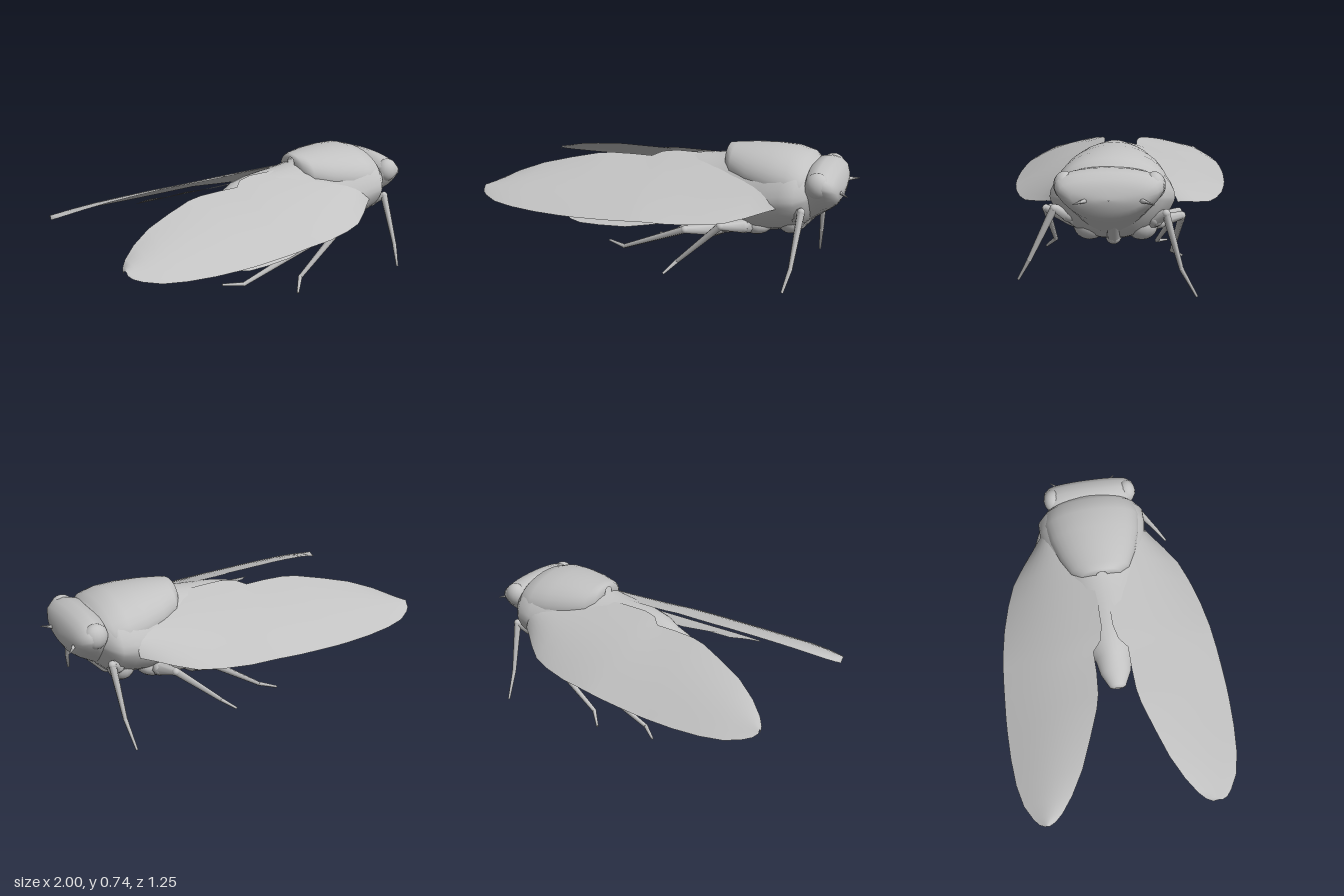
import * as THREE from 'three';

const shell = new THREE.MeshStandardMaterial({ color: 0xc2c2c2, side: THREE.DoubleSide });
shell.name = 'plain grey';

// Skin a list of equal-length rows of [x, y, z] points
function skin(rows, closed) {
  const n = rows[0].length, index = [];
  for (let i = 0; i < rows.length - 1; i++) {
    for (let j = 0; j < (closed ? n : n - 1); j++) {
      const k = (j + 1) % n;
      const a = i * n + j, b = a + n, c = i * n + k, d = c + n;
      index.push(a, b, c, b, d, c);
    }
  }
  const g = new THREE.BufferGeometry();
  g.setAttribute('position', new THREE.Float32BufferAttribute(rows.flat(2), 3));
  g.setIndex(index);
  g.computeVertexNormals();
  return g;
}

function part(parent, name, geometry) {
  const m = new THREE.Mesh(geometry, shell);
  m.name = name;
  parent.add(m);
  return m;
}

// Loft along x; station = [x, top, bottom, height of widest line, half width, upper power, lower power]
function loft(stations, sides = 32) {
  const rows = stations.map(([x, top, bottom, mid, w, up = 2, low = 1.9]) => {
    const ring = [];
    for (let j = 0; j < sides; j++) {
      const a = (j / sides) * Math.PI * 2, s = Math.sin(a), c = Math.cos(a);
      const h = s > 0 ? top - mid : mid - bottom;
      const y = mid + Math.sign(s) * Math.abs(s) ** (2 / (s > 0 ? up : low)) * h;
      ring.push([x, y, c * w]);
    }
    return ring;
  });
  return skin(rows, true);
}

function ball(parent, name, pos, size) {
  const m = part(parent, name, new THREE.SphereGeometry(1, 16, 12));
  m.position.set(...pos);
  m.scale.set(...size);
  return m;
}

// Jointed limb made of tapered segments
function limb(parent, name, points, radii) {
  const g = new THREE.Group();
  g.name = name;
  const p = points.map((q) => new THREE.Vector3(...q));
  for (let i = 0; i < p.length - 1; i++) {
    const d = p[i + 1].clone().sub(p[i]);
    const seg = part(g, 'segment', new THREE.CylinderGeometry(radii[i + 1], radii[i], d.length(), 7));
    seg.position.copy(p[i]).addScaledVector(d, 0.5);
    seg.quaternion.setFromUnitVectors(new THREE.Vector3(0, 1, 0), d.normalize());
    if (i > 0) ball(g, 'joint', points[i], [radii[i], radii[i], radii[i]]);
  }
  parent.add(g);
}

// Roof-like wing sheet; station = [x, inner z, outer z]; spread swings the tip outward
function wing(stations, side, spread, height, cols = 10) {
  const rows = stations.map(([x, a, b]) => {
    const out = spread * Math.max(0, -x - 0.3);
    const row = [];
    for (let j = 0; j <= cols; j++) {
      const t = j / cols, z = a + (b - a) * t;
      row.push([x, height(x, z, t), (z + out * (1 - 0.7 * t)) * side]);
    }
    return row;
  });
  if (side > 0) rows.reverse();
  return skin(rows, false);
}

export function createModel() {
  const insect = new THREE.Group();
  insect.name = 'wingedInsect';

  // Abdomen and thorax, tail to neck
  part(insect, 'body', loft([
    [-0.31, 0.5, 0.47, 0.485, 0.02],
    [-0.3, 0.53, 0.44, 0.485, 0.045],
    [-0.22, 0.56, 0.42, 0.49, 0.085],
    [-0.14, 0.6, 0.4, 0.5, 0.1, 1.6],
    [-0.08, 0.63, 0.37, 0.5, 0.14, 1.4],
    [0.02, 0.65, 0.34, 0.49, 0.19, 1.2],
    [0.12, 0.66, 0.295, 0.48, 0.22, 1.2],
    [0.2, 0.665, 0.255, 0.48, 0.24, 1.2],
    [0.28, 0.675, 0.245, 0.48, 0.25, 1.2],
    [0.35, 0.69, 0.25, 0.48, 0.26, 1.25],
    [0.45, 0.715, 0.265, 0.48, 0.275, 1.35],
    [0.56, 0.735, 0.28, 0.49, 0.295, 1.5],
    [0.66, 0.735, 0.285, 0.51, 0.31, 1.7, 1.6],
    [0.74, 0.72, 0.31, 0.52, 0.31, 1.8, 1.5],
    [0.79, 0.69, 0.36, 0.53, 0.26, 2, 1.4],
    [0.83, 0.66, 0.42, 0.54, 0.18, 2, 1.4],
  ])).position.z = 0.015;

  // Raised shield over the thorax
  part(insect, 'thoraxShield', loft([
    [0.3, 0.715, 0.66, 0.68, 0.03],
    [0.31, 0.732, 0.62, 0.65, 0.11],
    [0.35, 0.735, 0.58, 0.62, 0.165],
    [0.45, 0.745, 0.56, 0.6, 0.215],
    [0.57, 0.748, 0.54, 0.585, 0.255],
    [0.68, 0.742, 0.54, 0.575, 0.275],
    [0.76, 0.718, 0.54, 0.57, 0.27],
    [0.8, 0.68, 0.56, 0.6, 0.2],
  ])).position.z = 0.015;

  // Broad blunt head with a wedge-shaped lower face
  const head = new THREE.Group();
  head.name = 'headGroup';
  head.position.z = 0.025;
  insect.add(head);
  part(head, 'head', loft([
    [0.76, 0.63, 0.33, 0.56, 0.16, 2.6, 1.4],
    [0.79, 0.682, 0.355, 0.585, 0.245, 2.8, 1.3],
    [0.84, 0.685, 0.39, 0.595, 0.262, 3, 1.3],
    [0.89, 0.672, 0.425, 0.595, 0.262, 3, 1.4],
    [0.925, 0.645, 0.455, 0.585, 0.235, 2.8, 1.5],
    [0.945, 0.61, 0.49, 0.565, 0.18, 2.4],
    [0.955, 0.57, 0.53, 0.55, 0.07],
    [0.957, 0.551, 0.549, 0.55, 0.002],
  ]));

  // Mouth beak folded below the chest
  limb(insect, 'beak', [[0.84, 0.46, 0.01], [0.71, 0.31, 0.01], [0.46, 0.245, 0]], [0.045, 0.04, 0.012]);

  const foreWing = [
    [-1, 0.42, 0.47], [-0.985, 0.385, 0.5], [-0.95, 0.345, 0.53], [-0.87, 0.285, 0.575],
    [-0.75, 0.22, 0.605], [-0.6, 0.165, 0.62], [-0.45, 0.115, 0.625], [-0.37, 0.1, 0.625],
    [-0.25, 0.095, 0.62], [-0.13, 0.095, 0.613], [-0.08, 0.05, 0.608], [0, 0.03, 0.6],
    [0.15, 0.03, 0.575], [0.3, 0.04, 0.535], [0.42, 0.08, 0.49], [0.52, 0.12, 0.42],
    [0.6, 0.17, 0.355], [0.66, 0.21, 0.31],
  ];
  const hindWing = [
    [-0.45, 0.42, 0.5], [-0.43, 0.36, 0.54], [-0.36, 0.3, 0.56], [-0.25, 0.25, 0.56],
    [-0.1, 0.2, 0.55], [0.1, 0.17, 0.5], [0.3, 0.17, 0.42], [0.45, 0.2, 0.34],
  ];

  for (const side of [1, -1]) {
    const pre = side > 0 ? 'left' : 'right';
    part(insect, pre + 'ForeWing', wing(foreWing, side, side > 0 ? 0 : 0.06, (x, z, t) =>
      0.675 - 0.425 * z + 0.02 * Math.sin(Math.PI * t)
      - Math.max(0, x) * 0.1 * t * t - Math.max(0, -x - 0.5) * 0.06 * (1 - t)
      - Math.max(0, -x - 0.8) * 0.08));
    const droop = side > 0 ? 0.055 : 0.015;
    part(insect, pre + 'HindWing', wing(hindWing, side, 0, (x, z, t) =>
      0.65 - 0.42 * z - droop * (1 - Math.max(0, x)) + 0.01 * Math.cos(x * 30) * (1 - t)));

    // Eye, hips and feeler
    ball(head, pre + 'Eye', [0.845, 0.6, side * 0.215], [0.065, 0.068, 0.055]);
    ball(insect, pre + 'FrontHip', [0.69, 0.37, side * 0.13], [0.075, 0.08, 0.085]);
    ball(insect, pre + 'MiddleHip', [0.5, 0.325, side * 0.13], [0.09, 0.06, 0.09]);
    ball(insect, pre + 'HindHip', [0.33, 0.3, side * 0.12], [0.09, 0.05, 0.09]);
    limb(insect, pre + 'Feeler', [[0.92, 0.55, side * 0.11], [0.995, 0.54, side * 0.19]], [0.016, 0.002]);
  }

  // Legs: hip, mid thigh, knee, ankle, toe
  const thick = [0.035, 0.04, 0.021, 0.012, 0.007];
  const legs = {
    leftFrontLeg: [[0.69, 0.36, 0.14], [0.74, 0.43, 0.23], [0.78, 0.47, 0.3], [0.765, 0.2, 0.43], [0.74, 0.09, 0.49]],
    rightFrontLeg: [[0.69, 0.36, -0.14], [0.74, 0.41, -0.2], [0.79, 0.45, -0.25], [0.77, 0.16, -0.33], [0.75, 0.01, -0.41]],
    leftMiddleLeg: [[0.52, 0.3, 0.1], [0.45, 0.335, 0.24], [0.37, 0.37, 0.385], [0.12, 0.13, 0.36], [0.06, 0.07, 0.42]],
    rightMiddleLeg: [[0.52, 0.3, -0.1], [0.5, 0.335, -0.22], [0.47, 0.36, -0.34], [0.17, 0.08, -0.3], [0.1, 0.03, -0.36]],
    leftHindLeg: [[0.35, 0.28, 0.08], [0.27, 0.29, 0.22], [0.17, 0.325, 0.38], [-0.22, 0.15, 0.3], [-0.33, 0.155, 0.25]],
    rightHindLeg: [[0.35, 0.28, -0.08], [0.29, 0.29, -0.2], [0.22, 0.32, -0.33], [-0.14, 0.05, -0.22], [-0.23, 0.03, -0.28]],
  };
  for (const [name, points] of Object.entries(legs)) limb(insect, name, points, thick);

  return insect;
}
